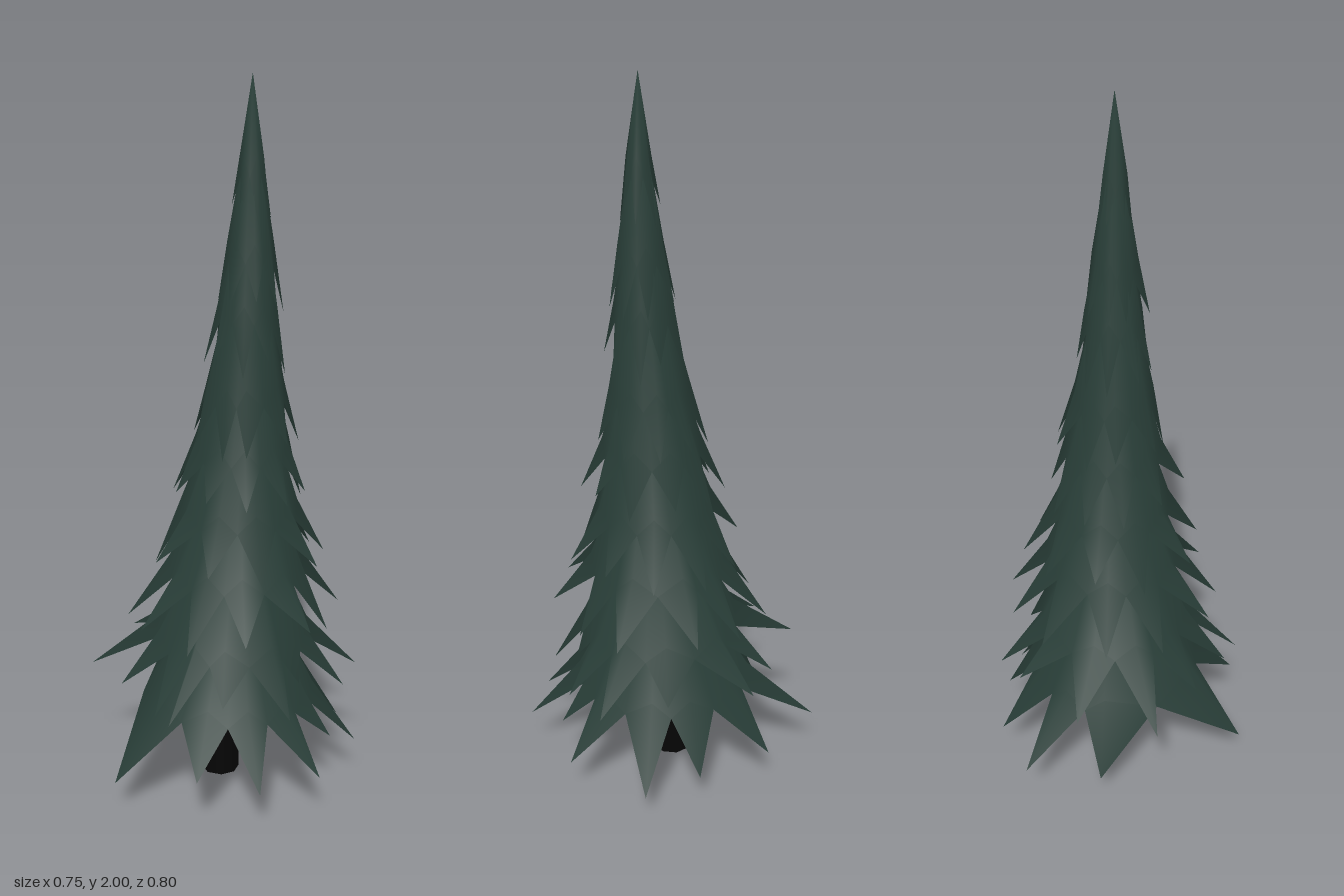
import * as THREE from 'three';

const needles = new THREE.MeshStandardMaterial({ color: 0x283d37, side: THREE.DoubleSide });
needles.name = 'dark green needles';
const bark = new THREE.MeshStandardMaterial({ color: 0x050505 });
bark.name = 'black bark';

// small seeded generator, returns -1..1
function makeRandom(seed) {
  return () => {
    seed = (seed * 16807) % 2147483647;
    return (seed / 2147483647) * 2 - 1;
  };
}

// the tree leans gently towards the front left
const leanX = (y) => 0.01 + 0.027 * Math.min(1, y / 0.6);
const leanZ = (y) => 0.08 * Math.min(1, y / 1.6);

// one hollow skirt: an apex, a shoulder ring and broad, ridged, pointed teeth
// tips are [x, y, z] in order of rising angle
function makeSkirt(name, apexY, valleyY, valleyR, tips) {
  const n = tips.length;
  const cx = leanX(valleyY), cz = leanZ(valleyY);
  const angles = tips.map(([x, , z]) => Math.atan2(z - cz, x - cx));
  const positions = [leanX(apexY), apexY, leanZ(apexY)];
  const index = [];
  for (let i = 0; i < n; i++) {
    const a = angles[i];
    let next = angles[(i + 1) % n];
    while (next < a) next += Math.PI * 2;
    const mid = (a + next) / 2;
    // raised shoulder above the tooth, tip of the tooth, valley after the tooth
    positions.push(cx + Math.cos(a) * valleyR, valleyY + 0.05, cz + Math.sin(a) * valleyR);
    positions.push(...tips[i]);
    positions.push(cx + Math.cos(mid) * valleyR, valleyY, cz + Math.sin(mid) * valleyR);
    const s = 1 + i * 3, t = s + 1, v = s + 2;
    const s2 = 1 + ((i + 1) % n) * 3, t2 = s2 + 1;
    index.push(0, v, s, 0, s2, v, s, v, t, v, s2, t2);
  }
  const geometry = new THREE.BufferGeometry();
  geometry.setAttribute('position', new THREE.Float32BufferAttribute(positions, 3));
  geometry.setIndex(index);
  geometry.computeVertexNormals();
  const mesh = new THREE.Mesh(geometry, needles);
  mesh.name = name;
  return mesh;
}

export function createModel() {
  const tree = new THREE.Group();
  tree.name = 'firTree';
  const random = makeRandom(4711);

  // trunk
  const trunk = new THREE.Mesh(new THREE.CylinderGeometry(0.05, 0.055, 0.45, 8), bark);
  trunk.name = 'trunk';
  trunk.position.set(0.02, 0.225, -0.015);
  tree.add(trunk);

  // lowest branches, with the widest and most uneven tips
  tree.add(makeSkirt('lowestBranches', 0.74, 0.26, 0.245, [
    [-0.38, 0.1, -0.05], [-0.02, 0.09, -0.32], [0.18, 0.15, -0.4],
    [0.31, 0.13, -0.225], [0.36, 0.12, -0.01], [0.375, 0.09, 0.15],
    [0.22, 0.13, 0.33], [0.1, 0.19, 0.33], [-0.035, 0.14, 0.4], [-0.2, 0.13, 0.325],
    [-0.305, 0.16, 0.19],
  ]));

  // second branches
  tree.add(makeSkirt('secondBranches', 0.92, 0.43, 0.218, [
    [-0.31, 0.31, 0.04], [-0.26, 0.33, -0.14], [-0.19, 0.31, -0.335], [0.03, 0.35, -0.38],
    [0.24, 0.36, -0.25], [0.325, 0.34, -0.17], [0.31, 0.33, 0.07], [0.31, 0.32, 0.26],
    [0.17, 0.32, 0.32], [0.03, 0.36, 0.27], [-0.07, 0.3, 0.32], [-0.2, 0.34, 0.19],
    [-0.33, 0.31, 0.11],
  ]));

  // upper branches: tip height, tip radius, valley height, valley radius, apex, teeth
  const tiers = [
    [0.51, 0.295, 0.63, 0.19, 1.12, 11],
    [0.68, 0.245, 0.8, 0.162, 1.32, 10],
    [0.87, 0.19, 0.98, 0.134, 1.5, 10],
    [1.02, 0.152, 1.14, 0.11, 1.68, 9],
    [1.24, 0.11, 1.36, 0.08, 1.85, 9],
    [1.41, 0.088, 1.52, 0.062, 1.94, 8],
    [1.64, 0.053, 1.74, 0.033, 2, 7],
  ];
  tiers.forEach(([tipY, tipR, valleyY, valleyR, apexY, n], k) => {
    const tips = [];
    for (let i = 0; i < n; i++) {
      const a = ((i + k * 0.4 + random() * 0.2) / n) * Math.PI * 2;
      const r = tipR * (1 + random() * 0.08);
      const y = tipY + random() * 0.03;
      tips.push([leanX(y) + Math.cos(a) * r, y, leanZ(y) + Math.sin(a) * r]);
    }
    tree.add(makeSkirt('upperBranches' + (k + 1), apexY, valleyY, valleyR, tips));
  });

  return tree;
}
